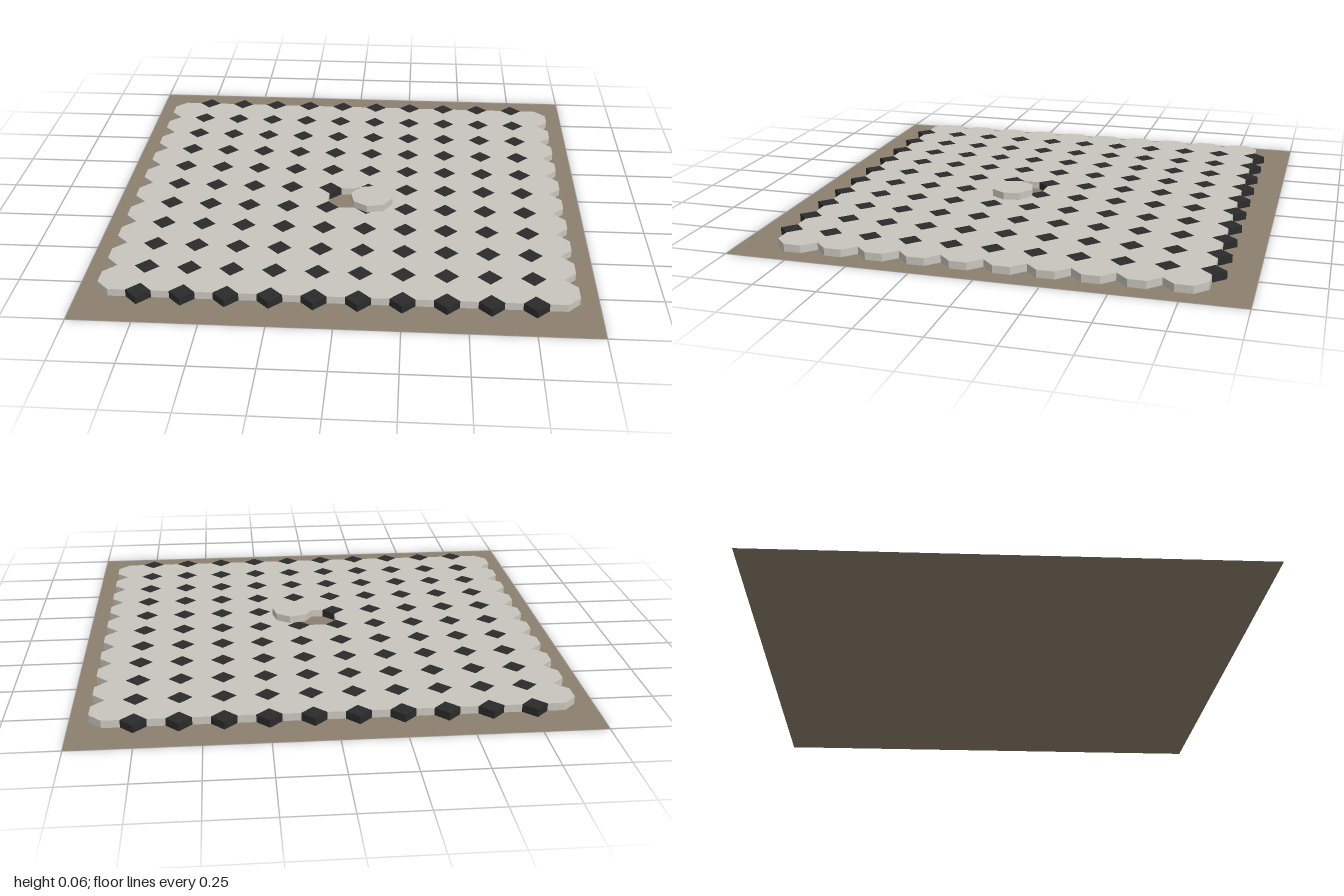
import * as THREE from 'three';

const PITCH = 0.1682;                       // tile spacing
const CUT = PITCH * (1 - Math.SQRT1_2);     // corner cut = diamond half diagonal
const LOW = 0.002, THICK = 0.031;

// Flat-sided prism standing on its base
function prism(radius, sides, turn) {
  const g = new THREE.CylinderGeometry(radius, radius, THICK, sides).toNonIndexed();
  g.rotateY(turn);
  g.translate(0, THICK / 2, 0);
  g.computeVertexNormals();
  return g;
}

export function createModel() {
  const model = new THREE.Group();
  const mat = (name, color) => {
    const m = new THREE.MeshStandardMaterial({ color });
    m.name = name;
    return m;
  };
  const pale = mat('paleStone', 0xc8c5bd);
  const dark = mat('darkStone', 0x2b2b2b);
  const mortar = mat('mortarBed', 0x8c806e);
  mortar.side = THREE.DoubleSide;

  const add = (parent, name, geometry, material, x, y, z) => {
    const mesh = new THREE.Mesh(geometry, material);
    mesh.name = name;
    mesh.position.set(x, y, z);
    parent.add(mesh);
    return mesh;
  };

  // Thin bed under the floor
  const bed = new THREE.PlaneGeometry(2, 2).rotateX(-Math.PI / 2);
  add(model, 'mortarBed', bed, mortar, 0, 0, 0);

  const octagon = prism(PITCH / 2 / Math.cos(Math.PI / 8), 8, Math.PI / 8);
  const diamond = prism(CUT, 4, 0);

  // Octagonal tiles: 11 columns by 10 rows, with one lifted out
  const tiles = new THREE.Group();
  tiles.name = 'octagonTiles';
  for (let c = 0; c < 11; c++) {
    for (let r = 0; r < 10; r++) {
      if (c === 5 && r === 5) continue;
      add(tiles, 'octagonTile', octagon, pale, (c - 5) * PITCH, LOW, (r - 4.5) * PITCH);
    }
  }

  // Dark diamond insets: 10 columns by 11 rows
  const insets = new THREE.Group();
  insets.name = 'diamondInsets';
  for (let c = 0; c < 10; c++) {
    for (let r = 0; r < 11; r++) {
      add(insets, 'diamondInset', diamond, dark, (c - 4.5) * PITCH, LOW, (r - 5) * PITCH);
    }
  }
  model.add(tiles, insets);

  // The lifted tile, lying askew beside its gap
  const loose = add(model, 'looseTile', octagon, pale, 0.104, LOW + THICK + 0.001, 0.116);
  loose.rotation.y = 0.21;

  return model;
}
